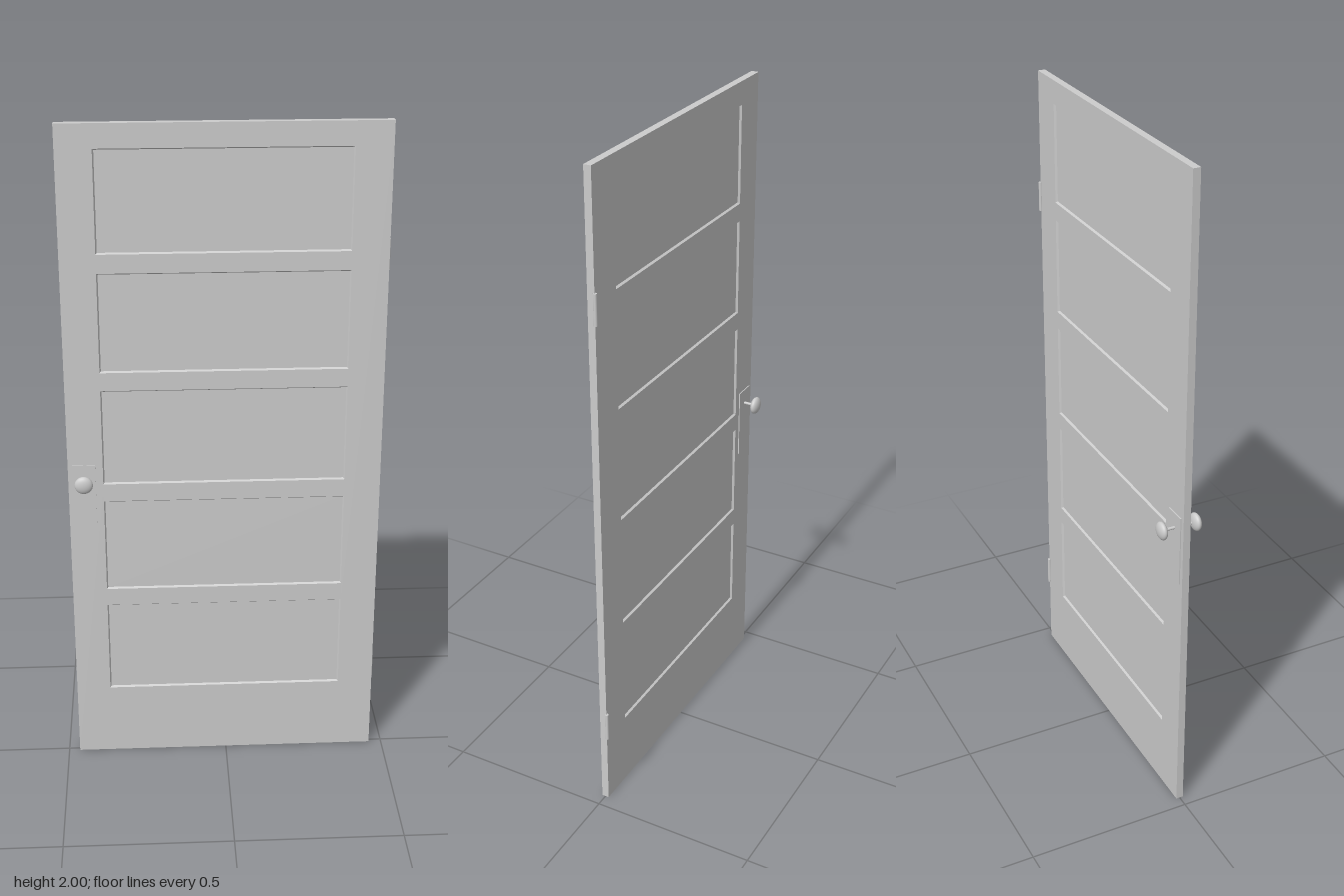
import * as THREE from 'three';

const material = new THREE.MeshStandardMaterial({ color: 0xcccccc });

// Door slab and panel layout
const LEFT = -0.466, RIGHT = 0.461, HEIGHT = 2, HALF = 0.011;
const PANEL = { x0: -0.363, x1: 0.355, h: 0.296, y0: 0.23, pitch: 0.3512, count: 5 };
const RECESS = 0.006, BEVEL = 0.004;

function add(parent, name, geometry, x = 0, y = 0, z = 0) {
  const mesh = new THREE.Mesh(geometry, material);
  mesh.name = name;
  mesh.position.set(x, y, z);
  parent.add(mesh);
  return mesh;
}

function rectangle(path, x0, y0, x1, y1) {
  path.moveTo(x0, y0);
  path.lineTo(x1, y0);
  path.lineTo(x1, y1);
  path.lineTo(x0, y1);
  path.closePath();
  return path;
}

// Sloped border from the face of the frame down to the sunken panel
function mouldingGeometry(w, h) {
  const loop = (a, b, z) => [[-a, -b, z], [a, -b, z], [a, b, z], [-a, b, z]];
  const outer = loop(w / 2, h / 2, 0);
  const inner = loop(w / 2 - BEVEL, h / 2 - BEVEL, -RECESS);
  const points = [];
  for (let i = 0; i < 4; i++) {
    const j = (i + 1) % 4;
    points.push(...outer[i], ...outer[j], ...inner[j], ...outer[i], ...inner[j], ...inner[i]);
  }
  const geometry = new THREE.BufferGeometry();
  geometry.setAttribute('position', new THREE.Float32BufferAttribute(points, 3));
  geometry.computeVertexNormals();
  return geometry;
}

export function createModel() {
  const door = new THREE.Group();
  door.name = 'door';

  // Frame of stiles and rails with five openings
  const outline = rectangle(new THREE.Shape(), LEFT, 0, RIGHT, HEIGHT);
  const bottoms = Array.from({ length: PANEL.count }, (_, i) => PANEL.y0 + i * PANEL.pitch);
  for (const y of bottoms) {
    outline.holes.push(rectangle(new THREE.Path(), PANEL.x0, y, PANEL.x1, y + PANEL.h));
  }
  add(door, 'frame', new THREE.ExtrudeGeometry(outline, { depth: HALF * 2, bevelEnabled: false }), 0, 0, -HALF);

  // Sunken panels with a moulding on each side
  const w = PANEL.x1 - PANEL.x0, cx = (PANEL.x0 + PANEL.x1) / 2;
  const panel = new THREE.BoxGeometry(w, PANEL.h, 2 * (HALF - RECESS));
  const moulding = mouldingGeometry(w, PANEL.h);
  for (const y of bottoms) {
    const cy = y + PANEL.h / 2;
    add(door, 'panel', panel, cx, cy);
    add(door, 'frontMoulding', moulding, cx, cy, HALF);
    add(door, 'backMoulding', moulding, cx, cy, -HALF).rotation.y = Math.PI;
  }

  // Lock plate, spindle and flattened knob on both faces
  const knobX = -0.419, knobY = 0.95;
  const plate = new THREE.BoxGeometry(0.068, 0.216, 0.004);
  const spindle = new THREE.CylinderGeometry(0.0045, 0.0045, 0.09, 16).rotateX(Math.PI / 2);
  const knob = new THREE.SphereGeometry(0.027, 32, 20).rotateX(Math.PI / 2).scale(1, 1, 0.5);
  add(door, 'spindle', spindle, knobX, knobY);
  for (const side of [1, -1]) {
    add(door, 'lockPlate', plate, knobX, 0.888, side * (HALF + 0.001));
    add(door, 'knob', knob, knobX, knobY, side * 0.053);
  }

  // Hinge pins on the back edge
  const hinge = new THREE.CylinderGeometry(0.0055, 0.0055, 0.09, 16);
  for (const y of [0.273, 1.619]) add(door, 'hinge', hinge, 0.4605, y, -0.012);

  return door;
}
